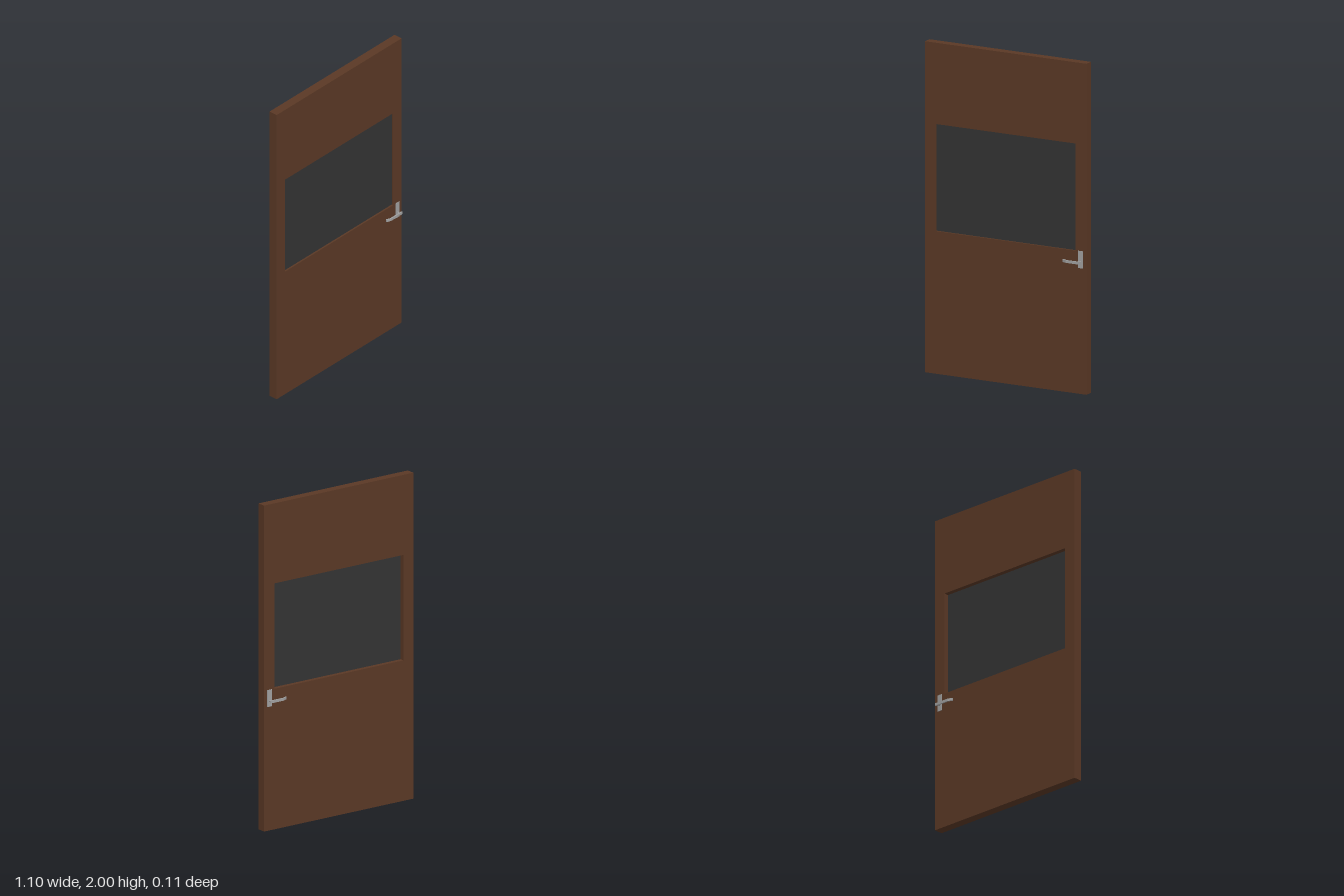
import * as THREE from 'three';

const material = (name, color) => {
  const m = new THREE.MeshStandardMaterial({ color });
  m.name = name;
  return m;
};

export function createModel() {
  const wood = material('brown wood', 0x5a3825);
  const glass = material('dark glass', 0x333333);
  const metal = material('grey metal', 0xa0a0a0);
  const root = new THREE.Group();
  root.name = 'door';

  const add = (parent, name, geometry, mat, x = 0, y = 0, z = 0) => {
    const mesh = new THREE.Mesh(geometry, mat);
    mesh.name = name;
    mesh.position.set(x, y, z);
    parent.add(mesh);
    return mesh;
  };
  const outline = (points) => new THREE.Shape(points.map(([x, y]) => new THREE.Vector2(x, y)));
  const rectangle = (x, y0, y1) => [[-x, y0], [x, y0], [x, y1], [-x, y1]];
  const half = 0.028; // half the door thickness

  // Door leaf with a window opening
  const leaf = outline(rectangle(0.548, 0, 2));
  leaf.holes.push(outline(rectangle(0.474, 0.862, 1.509)));
  add(root, 'doorLeaf',
    new THREE.ExtrudeGeometry(leaf, { depth: 2 * half, bevelEnabled: false }), wood, 0, 0, -half);

  // Pane set closer to the front face
  add(root, 'windowPane', new THREE.BoxGeometry(0.948, 0.647, 0.016), glass, 0, 1.1855, 0.009);

  // Lever profile seen from above: straight grip with its free end bent to the door
  const leverShape = outline([
    [0.523, 0.049], [0.523, 0.057], [0.424, 0.057],
    [0.396, 0.045], [0.399, 0.038], [0.426, 0.049],
  ]);
  const leverGeometry = new THREE.ExtrudeGeometry(leverShape, { depth: 0.016, bevelEnabled: false });
  leverGeometry.rotateX(Math.PI / 2).translate(0, 0.804, 0);

  // The back handle is the mirror of the front one
  for (const side of [1, -1]) {
    const handle = new THREE.Group();
    handle.name = side > 0 ? 'frontHandle' : 'backHandle';
    add(handle, 'backplate', new THREE.BoxGeometry(0.033, 0.104, 0.004), metal, 0.51, 0.812, half + 0.001);
    const stem = add(handle, 'stem', new THREE.CylinderGeometry(0.005, 0.005, 0.025, 16), metal, 0.51, 0.796, 0.04);
    stem.rotation.x = Math.PI / 2;
    add(handle, 'lever', leverGeometry, metal);
    handle.scale.z = side;
    root.add(handle);
  }
  return root;
}
